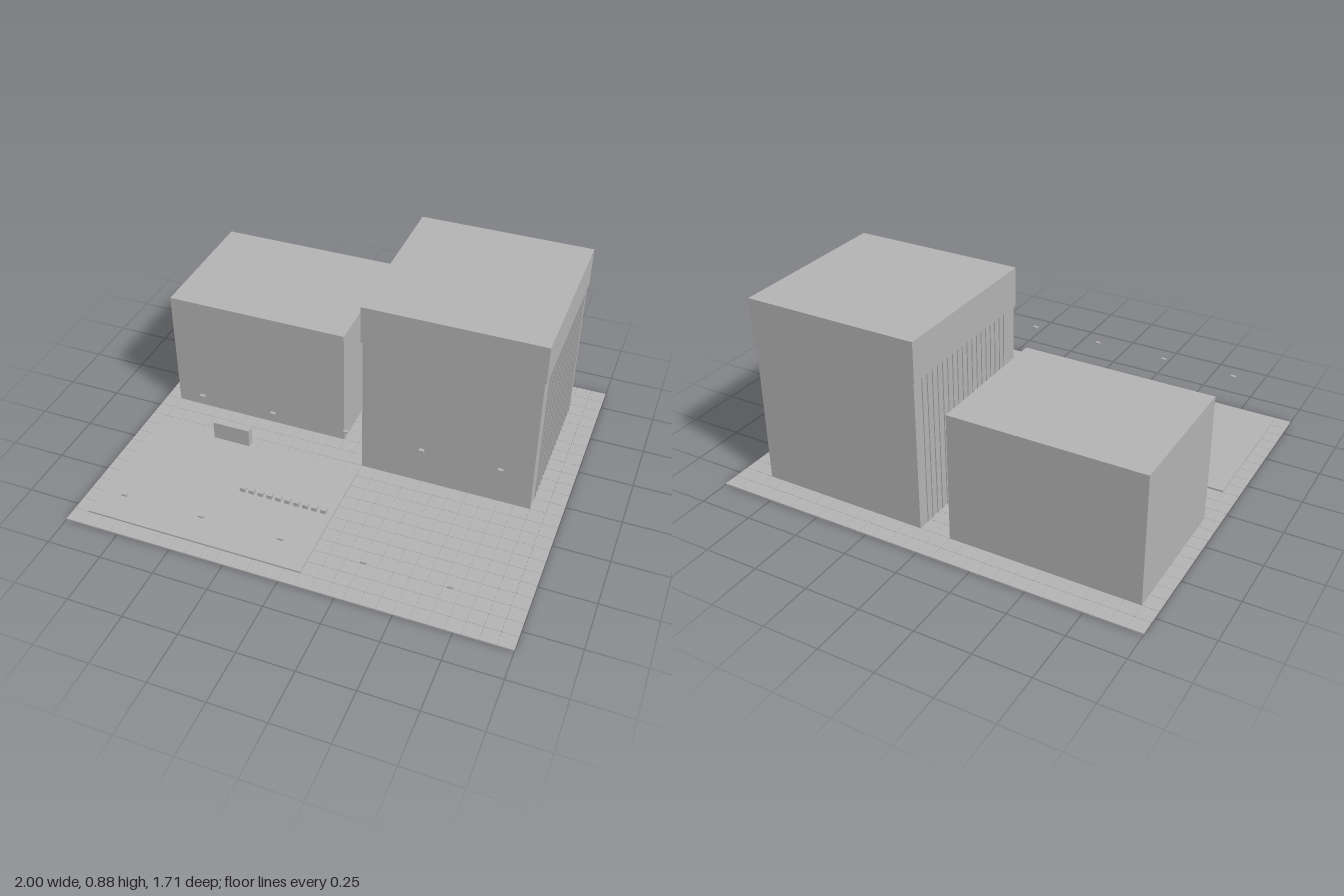
import * as THREE from 'three';
import { mergeGeometries } from 'three/addons/utils/BufferGeometryUtils.js';

const U = 1 / 14; // one paving module

export function createModel() {
  const model = new THREE.Group();
  model.name = 'plaza';
  const grey = new THREE.MeshStandardMaterial({ color: 0xb3b3b3 });
  grey.name = 'concrete grey';

  // Box geometry from its minimum and maximum corners
  const span = (x0, x1, y0, y1, z0, z1) =>
    new THREE.BoxGeometry(x1 - x0, y1 - y0, z1 - z0)
      .translate((x0 + x1) / 2, (y0 + y1) / 2, (z0 + z1) / 2);

  const add = (name, geometry) => {
    const mesh = new THREE.Mesh(geometry, grey);
    mesh.name = name;
    model.add(mesh);
  };

  // Square paving slabs with narrow joints
  const tiles = [];
  const half = 0.49 * U;
  for (let i = 0; i < 28; i++) {
    for (let j = 0; j < 24; j++) {
      const x = (i - 13.5) * U, z = (j - 11.5) * U;
      tiles.push(span(x - half, x + half, 0, 0.007, z - half, z + half));
    }
  }
  add('pavingTiles', mergeGeometries(tiles));

  // Raised forecourt slab
  add('forecourt', span(-13 * U, U, 0.005, 0.0145, 2 * U, 11 * U));

  // Low building
  add('lowBuilding', span(-13 * U, -U, 0.004, 0.595, -10 * U, -U));

  // Tall building with a slightly overhanging upper block
  add('towerBody', span(U, 12 * U, 0.004, 0.7, -10 * U, U));
  add('towerCap', span(0.9 * U, 12.1 * U, 0.7, 0.88, -10.1 * U, 1.1 * U));

  // Vertical fins on both flanks of the tall building
  const fins = [];
  for (const x of [U, 12 * U]) {
    for (let i = 0; i < 18; i++) {
      const z = -0.018 - i * 0.0376;
      fins.push(span(x - 0.0045, x + 0.0045, 0.004, 0.7, z - 0.0035, z + 0.0035));
    }
  }
  add('facadeFins', mergeGeometries(fins));

  // Sign slab
  add('signSlab', span(-9 * U, -6.5 * U, 0.007, 0.098, 0.104, 0.137));

  // Row of small blocks
  const blocks = [];
  for (let i = 0; i < 10; i++) {
    const x = (-5 + 0.6 * i) * U;
    blocks.push(span(x - 0.0125, x + 0.0125, 0.01, 0.034, 0.412, 0.435));
  }
  add('blockRow', mergeGeometries(blocks));

  // Two rows of lamp heads
  const lamps = [];
  for (const z of [0.089, 0.805]) {
    for (let i = -2; i <= 2; i++) {
      const x = i * 5 * U;
      lamps.push(span(x - 0.0115, x + 0.0115, 0.196, 0.205, z - 0.0075, z + 0.0075));
    }
  }
  add('lampHeads', mergeGeometries(lamps));

  return model;
}
